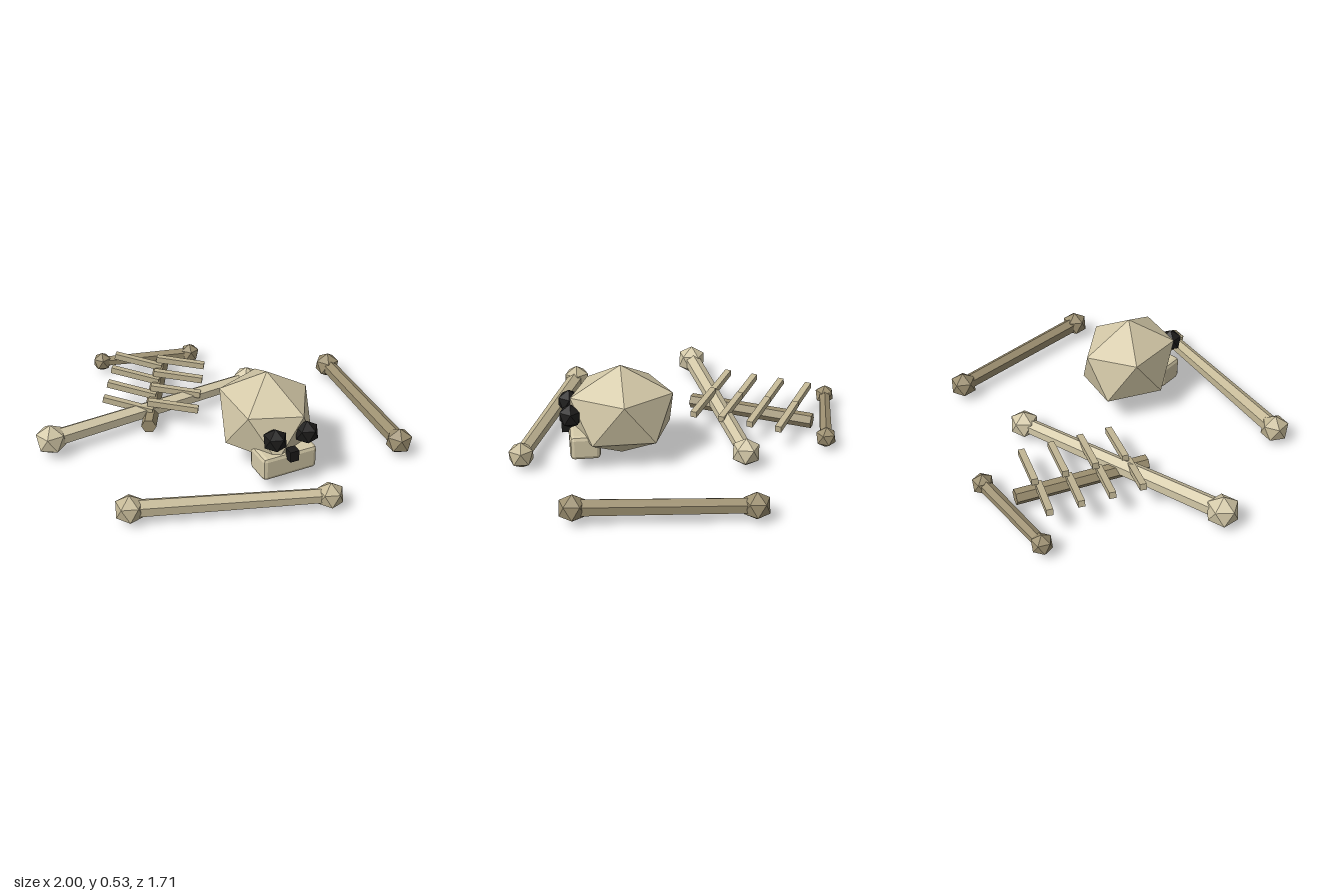
import * as THREE from 'three';
import { RoundedBoxGeometry } from 'three/addons/geometries/RoundedBoxGeometry.js';

const material = (color) => new THREE.MeshStandardMaterial({ color, flatShading: true });
const pale = material(0xd4c9a8);
const mid = material(0xc4b896);
const dark = material(0x9c8f70);
const black = material(0x1c1b1a);

function add(parent, name, geometry, mat, x = 0, y = 0, z = 0) {
  const mesh = new THREE.Mesh(geometry, mat);
  mesh.name = name;
  mesh.position.set(x, y, z);
  parent.add(mesh);
  return mesh;
}

// Icosahedron standing on one of its corners
function ball(r) {
  return new THREE.IcosahedronGeometry(r, 0).rotateZ(-Math.atan(2 / (1 + Math.sqrt(5))));
}

// Six-sided rod along z, r0 at the back end and r1 at the front end
function rod(r0, r1, length, roll = 0) {
  return new THREE.CylinderGeometry(r1, r0, length, 6).rotateY(roll).rotateX(Math.PI / 2);
}

// Long bone lying between two points [x, y, z], a knob on each end
function longBone(name, a, b, r0, r1, knobRadii, mat) {
  const bone = new THREE.Group();
  bone.name = name;
  const start = new THREE.Vector3(...a);
  const end = new THREE.Vector3(...b);
  const length = start.distanceTo(end);
  bone.position.copy(start).lerp(end, 0.5);
  bone.lookAt(end);
  add(bone, 'shaft', rod(r0, r1, length), mat);
  add(bone, 'knob', ball(knobRadii[0]), mat, 0, 0, -length / 2);
  add(bone, 'knob', ball(knobRadii[1]), mat, 0, 0, length / 2);
  return bone;
}

function createSkull() {
  const skull = new THREE.Group();
  skull.name = 'skull';
  skull.position.set(0.22, 0, 0.19);
  skull.rotation.y = 0.5;
  add(skull, 'cranium', ball(1).scale(0.262, 0.255, 0.315), pale, 0, 0.265, 0);
  add(skull, 'jaw', new RoundedBoxGeometry(0.31, 0.135, 0.16, 1, 0.022), pale, 0, 0.122, 0.2);
  for (const side of [-1, 1]) {
    add(skull, 'eyeSocket', ball(0.066), black, side * 0.09, 0.285, 0.27);
  }
  add(skull, 'noseHole', new THREE.BoxGeometry(0.05, 0.06, 0.05), black, 0, 0.19, 0.292);
  return skull;
}

function createRibcage() {
  const cage = new THREE.Group();
  cage.name = 'ribcage';
  cage.position.x = -0.42;
  add(cage, 'spine', rod(0.042, 0.042, 0.72, Math.PI / 6), dark, 0, 0.06, -0.33);
  // Four pairs of ribs sloping down and forward from a ridge above the spine
  for (let i = 0; i < 4; i++) {
    for (const side of [-1, 1]) {
      const top = new THREE.Vector3(0, 0.182, -0.61 + i * 0.163);
      const tip = top.clone().add(new THREE.Vector3(side * 0.25, -0.115, 0.066));
      const rib = add(cage, 'rib', new THREE.BoxGeometry(0.035, 0.035, top.distanceTo(tip)), mid);
      rib.position.copy(top).lerp(tip, 0.5);
      rib.lookAt(tip);
    }
  }
  return cage;
}

export function createModel() {
  const model = new THREE.Group();
  model.name = 'bonePile';
  model.add(
    createSkull(),
    createRibcage(),
    longBone('crossingBone', [-0.92, 0.088, 0.22], [0.1, 0.08, -0.47], 0.05, 0.042, [0.088, 0.08], pale),
    longBone('frontBone', [-0.43, 0.072, 0.78], [0.55, 0.07, 0.62], 0.048, 0.04, [0.08, 0.074], mid),
    longBone('sideBone', [0.935, 0.077, 0.13], [0.58, 0.072, -0.68], 0.046, 0.042, [0.075, 0.075], dark),
    longBone('backBone', [-0.26, 0.058, -0.81], [-0.78, 0.062, -0.67], 0.036, 0.032, [0.06, 0.058], dark)
  );
  return model;
}
